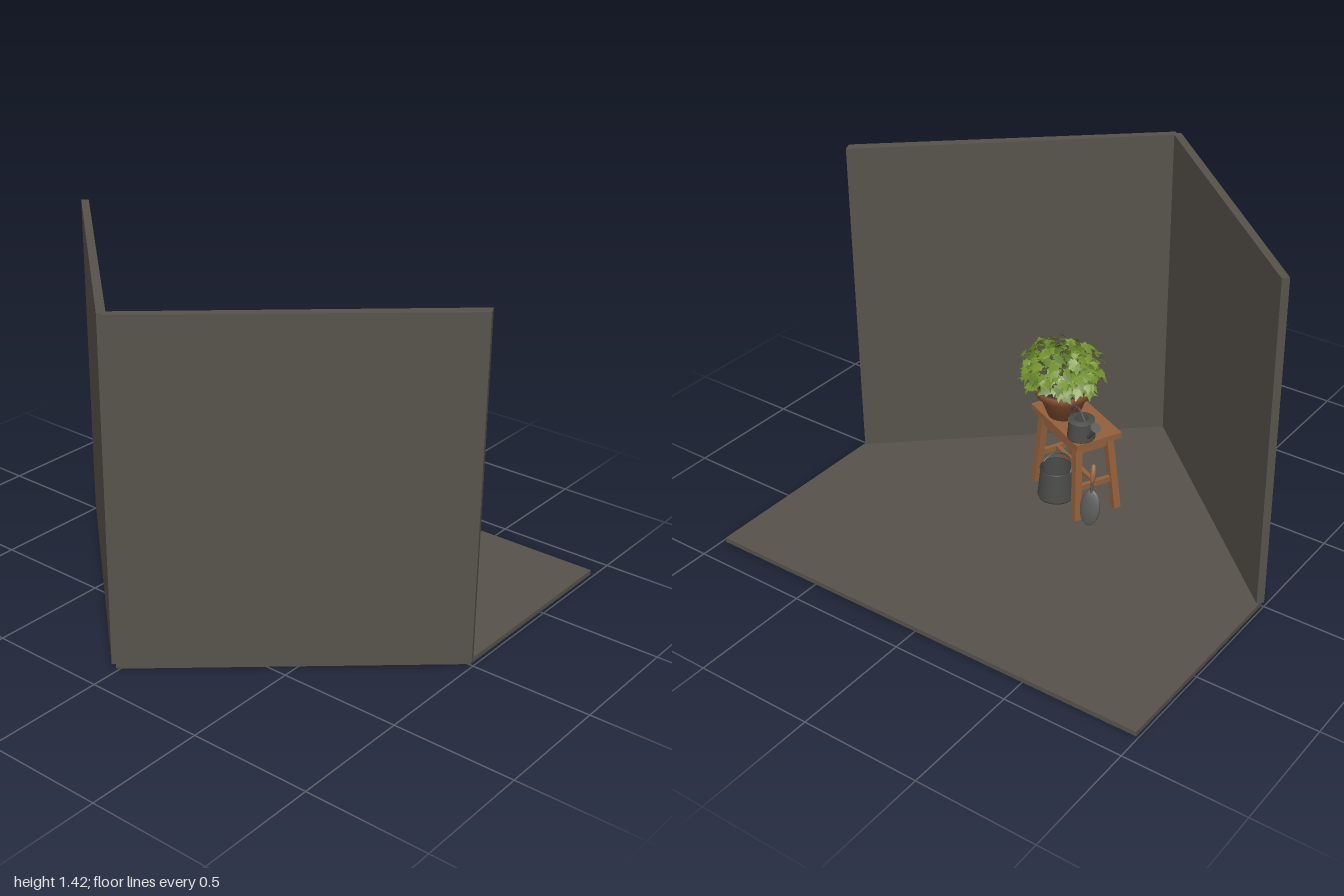
import * as THREE from 'three';
import { mergeGeometries } from 'three/addons/utils/BufferGeometryUtils.js';

const mat = (name, color, side = THREE.FrontSide) => {
  const m = new THREE.MeshStandardMaterial({ color, side });
  m.name = name;
  return m;
};

export function createModel() {
  const root = new THREE.Group();
  root.name = 'pottingCorner';
  const M = {
    plaster: mat('plaster', 0x57524b),
    wood: mat('wood', 0x94613c),
    clay: mat('clay', 0x8a5433, THREE.DoubleSide),
    soil: mat('soil', 0x342c2a),
    metal: mat('metal', 0x4c4c4a, THREE.DoubleSide),
    leaf: mat('leaf', 0x728f2e, THREE.DoubleSide),
    darkLeaf: mat('darkLeaf', 0x5c7a28, THREE.DoubleSide),
    stem: mat('stem', 0x566428)
  };
  const add = (parent, name, geo, material, x = 0, y = 0, z = 0) => {
    const m = new THREE.Mesh(geo, material);
    m.name = name;
    m.position.set(x, y, z);
    parent.add(m);
    return m;
  };
  const group = (name, x, y, z, turn = 0) => {
    const g = new THREE.Group();
    g.name = name;
    g.position.set(x, y, z);
    g.rotation.y = turn;
    root.add(g);
    return g;
  };
  const V = (x, y, z) => new THREE.Vector3(x, y, z);
  const lathe = (pts, n = 24) => new THREE.LatheGeometry(pts.map(p => new THREE.Vector2(...p)), n);
  const tube = (pts, r, n = 14) => new THREE.TubeGeometry(new THREE.CatmullRomCurve3(pts), n, r, 8);

  // Plan outline in x and z, raised from y0 to y1
  const slab = (pts, y0, y1) => {
    const s = new THREE.Shape(pts.map(p => new THREE.Vector2(...p)));
    return new THREE.ExtrudeGeometry(s, { depth: y1 - y0, bevelEnabled: false })
      .rotateX(Math.PI / 2).translate(0, y1, 0);
  };
  // Square bar between two points
  const bar = (parent, name, a, b, w, h, material) => {
    const m = add(parent, name, new THREE.BoxGeometry(w, h, a.distanceTo(b)), material);
    m.position.copy(a).add(b).multiplyScalar(0.5);
    m.quaternion.setFromRotationMatrix(new THREE.Matrix4().lookAt(a, b,
      Math.abs(b.y - a.y) > 0.1 ? V(0, 0, 1) : V(0, 1, 0)));
    return m;
  };

  // Floor and the two walls
  add(root, 'floor', slab([[-0.99, -0.89], [0.985, -0.89], [0.985, -0.005], [-0.012, 0.872], [-0.99, 0]], 0, 0.02), M.plaster);
  add(root, 'leftWall', slab([[-1, 0], [-0.98, -0.023], [-0.003, 0.857], [-0.025, 0.882]], 0.02, 1.42), M.plaster);
  add(root, 'rightWall', slab([[1, 0.01], [0.98, -0.032], [-0.022, 0.857], [0, 0.882]], 0.02, 1.42), M.plaster);

  // Stool with splayed legs, aprons and stretchers
  const stool = group('stool', 0.014, 0.02, 0.195, -0.44);
  add(stool, 'seat', new THREE.BoxGeometry(0.376, 0.026, 0.21), M.wood, 0, 0.357, 0);
  for (const x of [-1, 1]) {
    for (const z of [-1, 1])
      bar(stool, 'leg', V(x * 0.17, 0, z * 0.095), V(x * 0.135, 0.345, z * 0.072), 0.034, 0.03, M.wood);
    bar(stool, 'sideApron', V(x * 0.138, 0.318, -0.075), V(x * 0.138, 0.318, 0.075), 0.016, 0.045, M.wood);
    bar(stool, 'sideStretcher', V(x * 0.155, 0.14, -0.085), V(x * 0.155, 0.14, 0.085), 0.018, 0.024, M.wood);
    bar(stool, 'longApron', V(-0.138, 0.318, x * 0.075), V(0.138, 0.318, x * 0.075), 0.016, 0.045, M.wood);
  }
  bar(stool, 'longStretcher', V(-0.155, 0.14, 0), V(0.155, 0.14, 0), 0.018, 0.024, M.wood);

  // Clay pot
  const pot = group('plantPot', 0.075, 0.39, 0.195);
  add(pot, 'pot', lathe([[0, 0.001], [0.066, 0.001], [0.102, 0.1], [0.116, 0.1], [0.12, 0.132], [0.106, 0.132], [0.1, 0.1]]), M.clay);
  add(pot, 'soil', new THREE.CylinderGeometry(0.104, 0.1, 0.012, 24), M.soil, 0, 0.112, 0);

  // Stems and a mound of lobed leaves
  const plant = group('plant', 0.08, 0.62, 0.185);
  let seed = 17;
  const rnd = () => (seed = (seed * 16807) % 2147483647) / 2147483647;
  const outline = new THREE.Shape([[0, 0], [0.014, 0.006], [0.025, 0.002], [0.02, 0.018], [0.024, 0.03], [0.011, 0.034],
    [0, 0.06], [-0.011, 0.034], [-0.024, 0.03], [-0.02, 0.018], [-0.025, 0.002], [-0.014, 0.006]]
    .map(p => new THREE.Vector2(...p)));
  const leafGeo = new THREE.ShapeGeometry(outline);
  const lp = leafGeo.attributes.position;
  for (let i = 0; i < lp.count; i++) lp.setZ(i, -Math.abs(lp.getX(i)) * 0.4 - lp.getY(i) ** 2 * 3);
  leafGeo.computeVertexNormals();
  const leaves = [[], []], stems = [];
  const count = 260;
  const dummy = new THREE.Object3D();
  for (let i = 0; i < count; i++) {
    const h = 1 - 1.6 * (i + 0.5) / count;
    const a = i * 2.39996 + rnd() * 0.5;
    const r = Math.sqrt(1 - h * h), k = 0.5 + 0.5 * Math.sqrt(rnd());
    const p = V(Math.cos(a) * r * k * 0.18, h * k * 0.115, Math.sin(a) * r * k * 0.155);
    dummy.position.copy(p);
    dummy.lookAt(p.x * 2 + (rnd() - 0.5) * 0.2, p.y + 0.13 + rnd() * 0.12, p.z * 2 + (rnd() - 0.5) * 0.2);
    dummy.rotateZ(Math.PI + (rnd() - 0.5) * 2);
    dummy.scale.setScalar(0.65 + rnd() * 0.4);
    dummy.updateMatrix();
    leaves[i % 4 === 0 ? 1 : 0].push(leafGeo.clone().applyMatrix4(dummy.matrix));
    if (i % 10 === 0)
      stems.push(tube([V(p.x * 0.15, -0.12, p.z * 0.15), V(p.x * 0.45, -0.03, p.z * 0.45), p], 0.003, 6));
  }
  add(plant, 'leaves', mergeGeometries(leaves[0]), M.leaf);
  add(plant, 'shadedLeaves', mergeGeometries(leaves[1]), M.darkLeaf);
  add(plant, 'stems', mergeGeometries(stems), M.stem);

  // Small watering can on the seat
  const can = group('wateringCan', -0.085, 0.39, 0.09, -0.44);
  add(can, 'canBody', lathe([[0, 0.001], [0.056, 0.001], [0.058, 0.006], [0.052, 0.078], [0.055, 0.083], [0.03, 0.088]]), M.metal);
  add(can, 'canHandle', tube([V(0.05, 0.02, 0), V(0.085, 0.05, 0), V(0.07, 0.1, 0), V(0.02, 0.12, 0), V(-0.03, 0.085, 0)], 0.005), M.metal);
  add(can, 'spout', tube([V(-0.045, 0.02, 0), V(-0.075, 0.05, 0), V(-0.1, 0.09, 0)], 0.009), M.metal);
  const rose = add(can, 'rose', new THREE.CylinderGeometry(0.022, 0.01, 0.02, 16), M.metal, -0.105, 0.095, 0);
  rose.rotation.z = 0.7;

  // Metal pail below the stool
  const pail = group('pail', 0.068, 0.02, 0.135);
  add(pail, 'pailBody', lathe([[0, 0.002], [0.077, 0.002], [0.08, 0.01], [0.067, 0.135], [0.071, 0.14], [0.064, 0.14], [0.073, 0.01]]), M.metal);
  add(pail, 'pailHandle', new THREE.TorusGeometry(0.068, 0.004, 6, 20, Math.PI), M.metal, 0, 0.135, 0).rotation.x = 0.9;

  // Trowel leaning on the stool
  const trowel = group('trowel', -0.168, 0.022, 0.025, 0.36);
  trowel.rotation.order = 'YXZ';
  trowel.rotation.x = 0.34;
  const blade = new THREE.SphereGeometry(1, 20, 12).scale(0.042, 0.075, 0.007);
  add(trowel, 'blade', blade, M.metal, 0, 0.075, 0);
  add(trowel, 'neck', new THREE.CylinderGeometry(0.006, 0.006, 0.05, 10), M.metal, 0, 0.165, 0);
  add(trowel, 'handle', lathe([[0, 0], [0.01, 0], [0.013, 0.035], [0.01, 0.07], [0, 0.076]], 12), M.wood, 0, 0.185, 0);

  return root;
}
